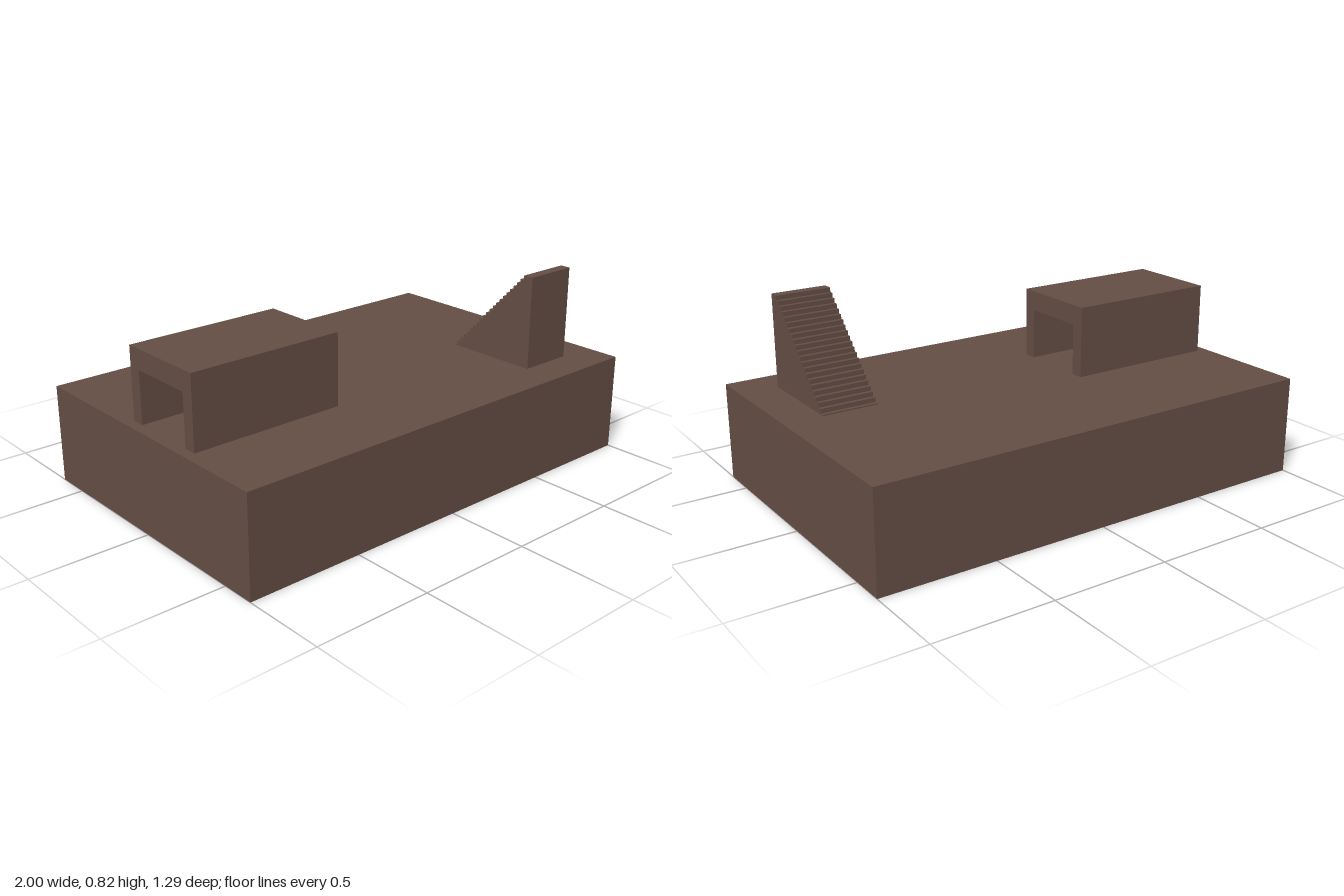
import * as THREE from 'three';

const DECK = 0.42;

// Extrudes a [z, y] profile from x0 to x1 and leaves out faces lying flat at the open levels
function openPrism(profile, x0, x1, openLevels) {
  const shape = new THREE.Shape(profile.map(([z, y]) => new THREE.Vector2(-z, y)));
  const solid = new THREE.ExtrudeGeometry(shape, { depth: x1 - x0, bevelEnabled: false });
  solid.translate(0, 0, x0).rotateY(Math.PI / 2);
  const src = solid.attributes.position;
  const kept = [];
  for (let i = 0; i < src.count; i += 3) {
    const flatAt = (level) => [0, 1, 2].every((k) => Math.abs(src.getY(i + k) - level) < 1e-5);
    if (openLevels.some(flatAt)) continue;
    for (let k = 0; k < 3; k++) kept.push(src.getX(i + k), src.getY(i + k), src.getZ(i + k));
  }
  const geometry = new THREE.BufferGeometry();
  geometry.setAttribute('position', new THREE.Float32BufferAttribute(kept, 3));
  geometry.computeVertexNormals();
  return geometry;
}

// Rectangle in plan, as points of (x, -z)
function planRect(x0, x1, z0, z1) {
  return [[x0, -z0], [x0, -z1], [x1, -z1], [x1, -z0]].map(([x, y]) => new THREE.Vector2(x, y));
}

export function createModel() {
  const group = new THREE.Group();
  const brown = new THREE.MeshStandardMaterial({ color: 0x654e45, side: THREE.DoubleSide });
  brown.name = 'brown';
  const add = (name, geometry) => {
    const mesh = new THREE.Mesh(geometry, brown);
    mesh.name = name;
    group.add(mesh);
  };

  // Hollow base: four thin walls, open below
  const hz = 0.645;
  add('baseWalls', openPrism([[hz, 0], [-hz, 0], [-hz, DECK], [hz, DECK]], -1, 1, [0, DECK]));

  // Deck, open beneath the hollow tunnel walls and staircase
  const tunnel = { x0: -0.955, x1: -0.28, front: 0.275, frontIn: 0.22, backIn: -0.067, back: -0.123 };
  const stair = { x0: 0.595, x1: 0.835, back: 0.49, top: 0.445, foot: 0.065 };
  const deck = new THREE.Shape(planRect(-1, 1, -hz, hz));
  deck.holes = [
    planRect(tunnel.x0, tunnel.x1, tunnel.frontIn, tunnel.front),
    planRect(tunnel.x0, tunnel.x1, tunnel.back, tunnel.backIn),
    planRect(stair.x0, stair.x1, stair.foot, stair.back),
  ].map((points) => new THREE.Path(points));
  add('deck', new THREE.ShapeGeometry(deck).rotateX(-Math.PI / 2).translate(0, DECK, 0));

  // Tunnel running along x
  add('tunnel', openPrism([
    [tunnel.front, DECK], [tunnel.frontIn, DECK], [tunnel.frontIn, 0.64], [tunnel.backIn, 0.64],
    [tunnel.backIn, DECK], [tunnel.back, DECK], [tunnel.back, 0.725], [tunnel.front, 0.725],
  ], tunnel.x0, tunnel.x1, [DECK]));

  // Staircase climbing towards the front, with a wider top step
  const steps = 21, rise = 0.0188, run = (stair.top - stair.foot) / steps;
  const profile = [[stair.back, DECK], [stair.foot, DECK]];
  for (let k = steps; k > 0; k--) {
    const y = 0.82 - rise * k;
    profile.push([stair.top - run * k, y], [stair.top - run * (k - 1), y]);
  }
  profile.push([stair.top, 0.82], [stair.back, 0.82]);
  add('staircase', openPrism(profile, stair.x0, stair.x1, [DECK]));

  return group;
}
